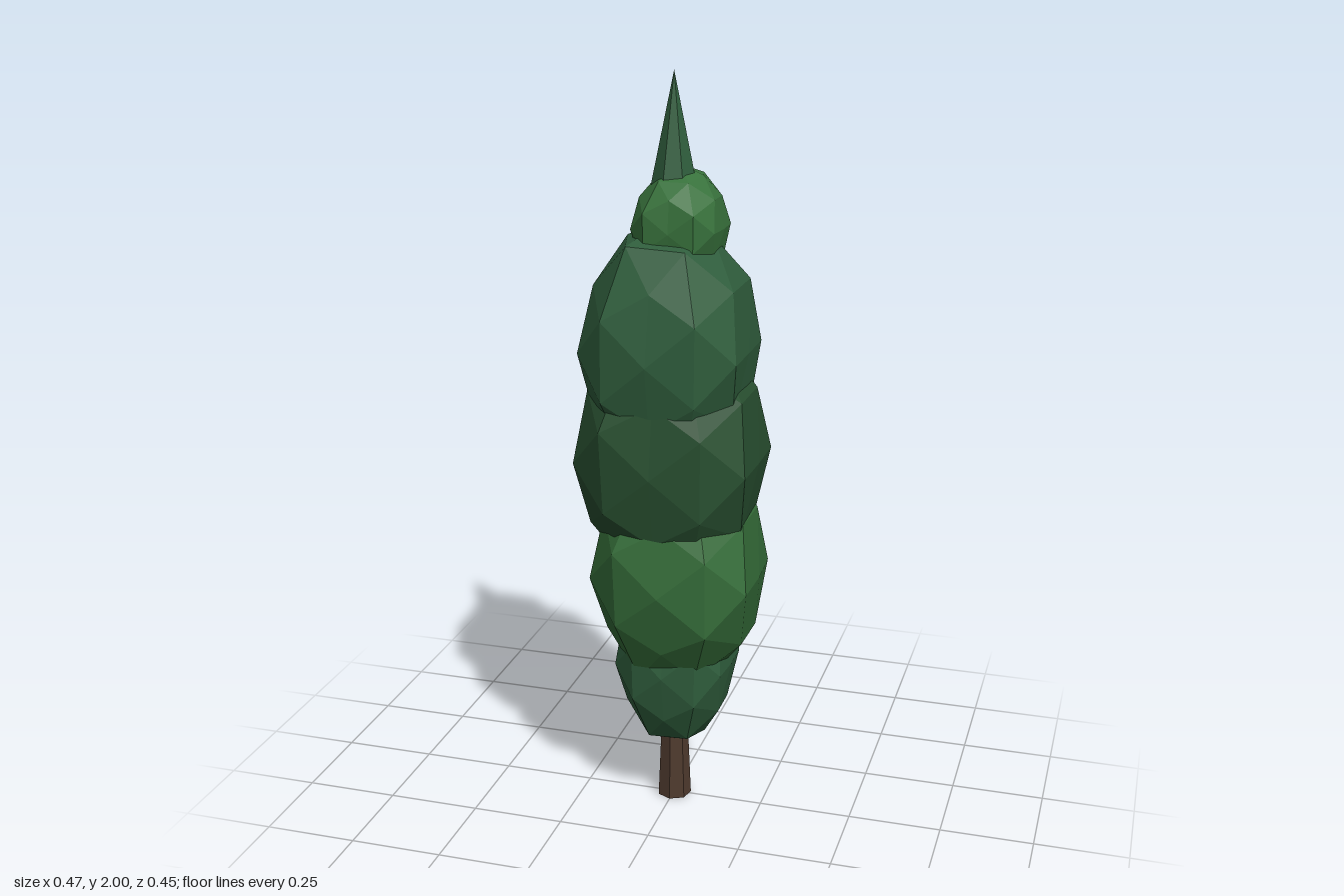
import * as THREE from 'three';

const mat = (color) => new THREE.MeshStandardMaterial({ color, flatShading: true });

// Repeatable value in -1..1 from a direction and a seed, so shared corners stay joined
function jitter(v, seed) {
  const s = Math.sin(Math.round(v.x * 100) * 12.99 + Math.round(v.y * 100) * 78.23
    + Math.round(v.z * 100) * 37.72 + seed * 9.17) * 43758.55;
  return 2 * (s - Math.floor(s)) - 1;
}

// Faceted leaf clump: a subdivided icosahedron, squarish in plan, stretched and roughened
function clumpGeometry(rx, ry, rz, seed) {
  const g = new THREE.IcosahedronGeometry(1, 1);
  const p = g.attributes.position;
  const v = new THREE.Vector3();
  for (let i = 0; i < p.count; i++) {
    v.fromBufferAttribute(p, i);
    const rough = 1 + 0.03 * jitter(v, seed);
    const square = 0.96 + 0.17 * Math.sin(2 * Math.atan2(v.z, v.x)) ** 2;
    p.setXYZ(i, v.x * rough * square, v.y * rough, v.z * rough * square);
  }
  g.scale(rx, ry, rz);
  g.computeVertexNormals();
  return g;
}

export function createModel() {
  const tree = new THREE.Group();
  tree.name = 'tree';
  const add = (name, geometry, color, x, y, z) => {
    const mesh = new THREE.Mesh(geometry, mat(color));
    mesh.name = name;
    mesh.position.set(x, y, z);
    tree.add(mesh);
    return mesh;
  };

  // Tapered trunk
  add('trunk', new THREE.CylinderGeometry(0.034, 0.047, 0.3, 7), 0x4f3a2e, 0, 0.15, 0);

  // Foliage, bottom to top: name, centre, radii, colour
  const clumps = [
    ['lowestFoliage', [0.01, 0.42, 0.005], [0.158, 0.25, 0.158], 0x2f5d3c],
    ['lowerFoliage', [0.018, 0.68, 0], [0.225, 0.335, 0.23], 0x346b38],
    ['middleFoliage', [-0.003, 1.0, 0], [0.243, 0.36, 0.236], 0x284f30],
    ['upperFoliage', [-0.012, 1.295, 0], [0.225, 0.345, 0.228], 0x2f5d3c],
    ['topFoliage', [0.015, 1.61, -0.01], [0.117, 0.155, 0.13], 0x38723c],
  ];
  clumps.forEach(([name, centre, radii, color], i) =>
    add(name, clumpGeometry(...radii, i + 1), color, ...centre));

  // Pointed tip
  add('tip', new THREE.ConeGeometry(0.063, 0.3, 7), 0x2f5d3c, 0, 1.85, 0).rotation.y = Math.PI / 2;

  return tree;
}
